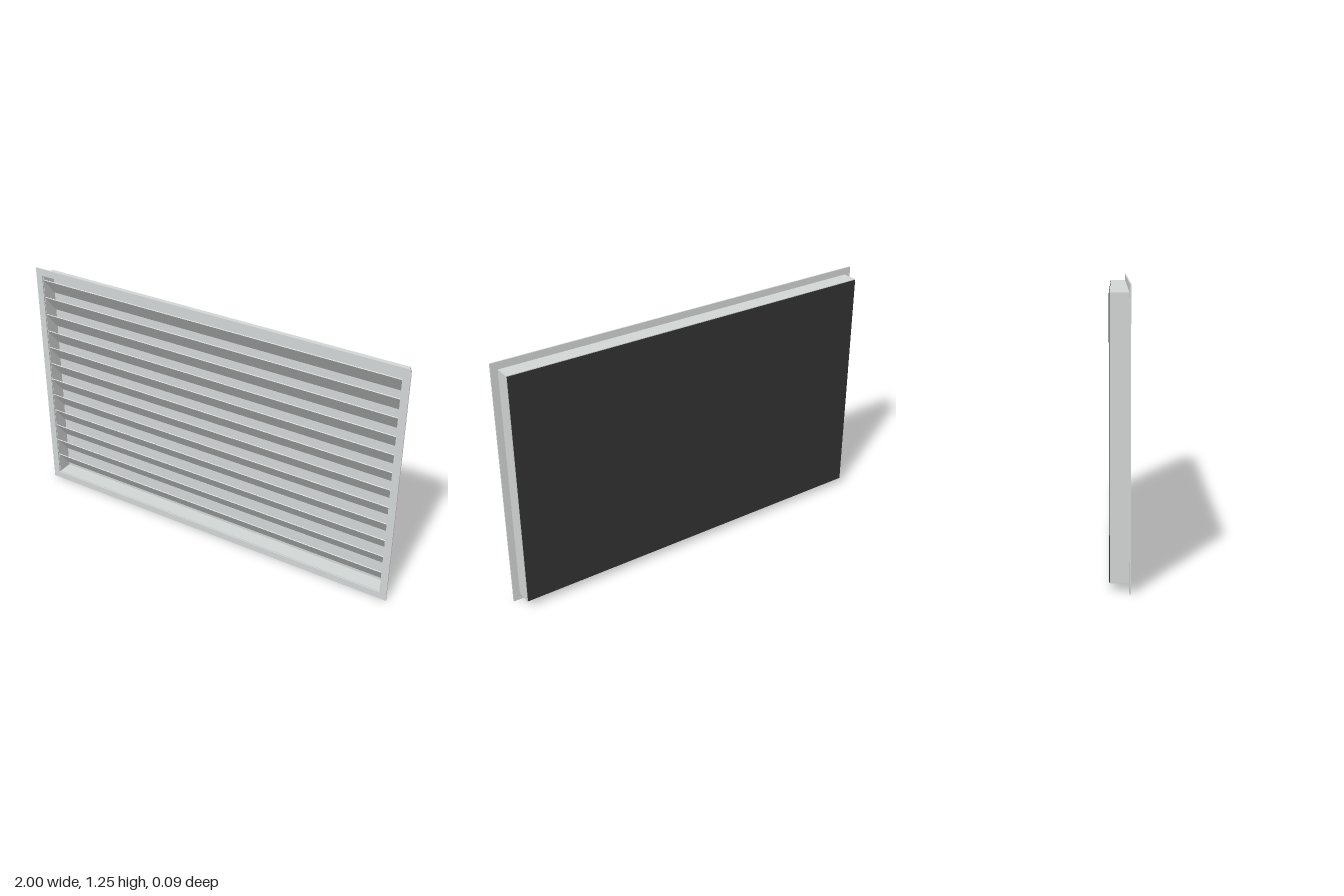
import * as THREE from 'three';

export function createModel() {
  const model = new THREE.Group();
  model.name = 'louvredVent';

  const mat = (name, color) => {
    const m = new THREE.MeshStandardMaterial({ color });
    m.name = name;
    return m;
  };
  const lightGrey = mat('lightGrey', 0xd2d6d5);
  const darkGrey = mat('darkGrey', 0x323232);

  const add = (name, geometry, material, x, y, z) => {
    const mesh = new THREE.Mesh(geometry, material);
    mesh.name = name;
    mesh.position.set(x, y, z);
    model.add(mesh);
    return mesh;
  };

  // Rectangular ring, extruded along z from its back face
  const ring = (w, h, border, depth) => {
    const rect = (T, a, b) => new T([
      new THREE.Vector2(-a, -b), new THREE.Vector2(a, -b),
      new THREE.Vector2(a, b), new THREE.Vector2(-a, b),
    ]);
    const shape = rect(THREE.Shape, w / 2, h / 2);
    shape.holes.push(rect(THREE.Path, w / 2 - border, h / 2 - border));
    return new THREE.ExtrudeGeometry(shape, { depth, bevelEnabled: false });
  };

  const midY = 0.624;

  // Thin front flange and the deep casing behind it
  add('frontFlange', ring(2, 1.248, 0.036, 0.006), lightGrey, 0, midY, 0.038);
  add('casing', ring(1.932, 1.178, 0.004, 0.079), lightGrey, 0, midY, -0.041);

  // Back panel, light inside, with a dark sheet on the outside
  add('backPanel', new THREE.BoxGeometry(1.924, 1.17, 0.002), lightGrey, 0, midY, -0.04);
  add('backSheet', new THREE.BoxGeometry(1.926, 1.172, 0.003), darkGrey, 0, midY, -0.0425);

  // Twelve slats, high at the front and low at the back
  const count = 12, pitch = 0.0942, drop = 0.094, run = 0.073;
  const slat = new THREE.BoxGeometry(1.924, 0.004, Math.hypot(drop, run));
  for (let i = 0; i < count; i++) {
    const top = 1.188 - i * pitch;
    const mesh = add(`slat${i + 1}`, slat, lightGrey, 0, top - drop / 2, 0.001);
    mesh.rotation.x = -Math.atan2(drop, run);
  }

  return model;
}
